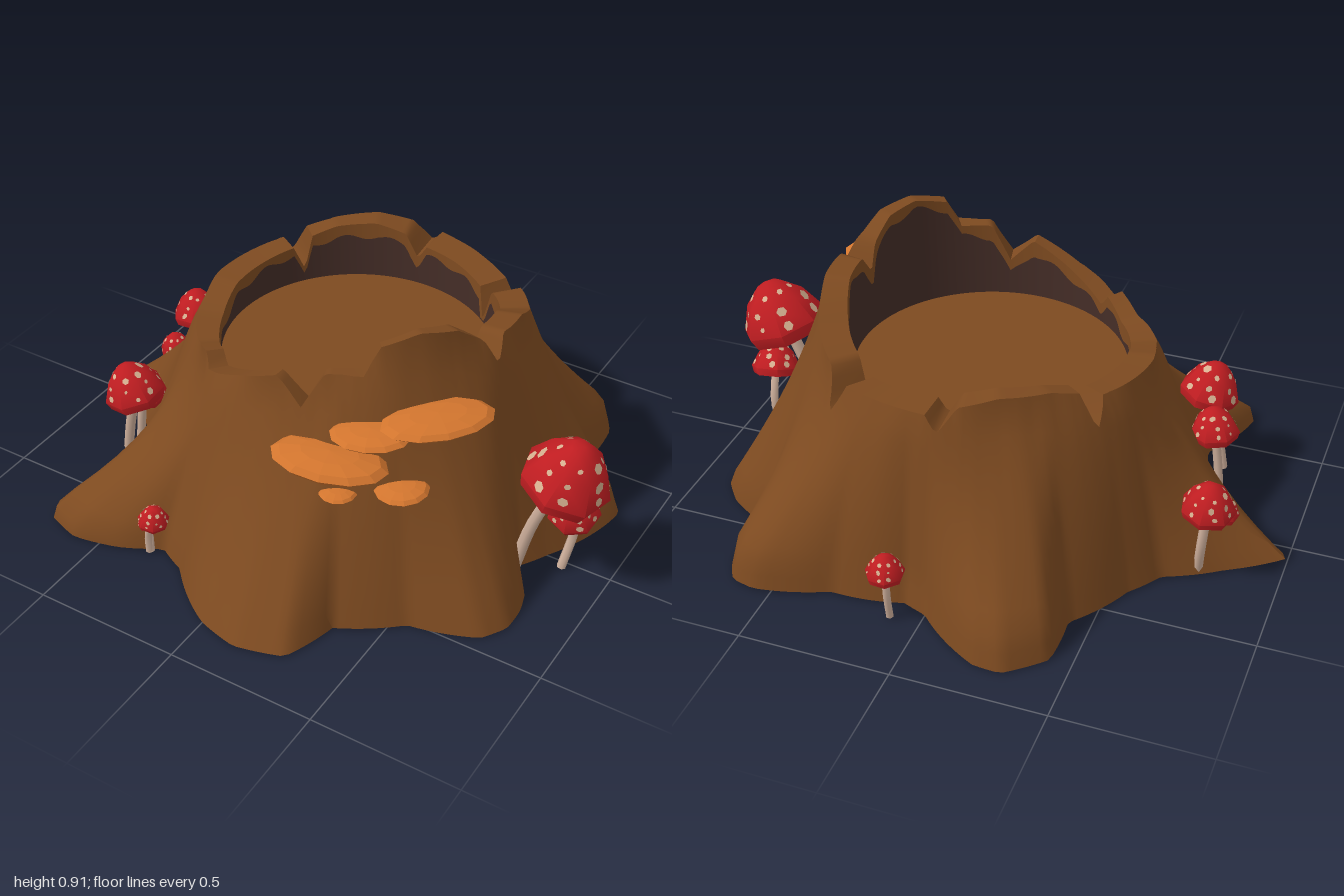
import * as THREE from 'three';
import { toCreasedNormals, mergeGeometries } from 'three/addons/utils/BufferGeometryUtils.js';

const CX = 0.03, CZ = -0.04, FLOOR = 0.52, SEG = 240;
const rad = Math.PI / 180;

// Ground outline of the spreading roots, as x, z pairs
const ROOTS = [
  [-1, -0.06], [-0.82, -0.19], [-0.64, -0.29], [-0.56, -0.4], [-0.43, -0.6], [-0.43, -0.78], [-0.31, -0.885],
  [-0.22, -0.88], [0, -0.72], [0.08, -0.69], [0.32, -0.72], [0.56, -0.79], [0.64, -0.77], [0.68, -0.7],
  [0.68, -0.48], [0.82, -0.4], [0.89, -0.31], [0.88, -0.24], [0.78, 0], [0.72, 0.1], [0.8, 0.21], [0.82, 0.28],
  [0.82, 0.37], [0.77, 0.45], [0.55, 0.52], [0.36, 0.65], [0.3, 0.83], [0.14, 0.875], [0, 0.84], [-0.2, 0.68],
  [-0.3, 0.63], [-0.43, 0.7], [-0.59, 0.735], [-0.72, 0.69], [-0.7, 0.6], [-0.61, 0.42], [-0.64, 0.2], [-0.78, 0.1],
].map(([x, z]) => [(Math.atan2(z - CZ, x - CX) / rad + 360) % 360, Math.hypot(x - CX, z - CZ)])
  .sort((a, b) => a[0] - b[0]);

// Jagged rim: angle, height
const RIM = [
  [4, 0.8], [10, 0.73], [14, 0.82], [24, 0.885], [37, 0.905], [51, 0.875], [57, 0.78], [70, 0.775], [78, 0.65],
  [88, 0.73], [106, 0.66], [125, 0.585], [129, 0.63], [142, 0.59], [160, 0.6], [176, 0.64], [194, 0.65],
  [210, 0.66], [215, 0.57], [219, 0.69], [230, 0.715], [247, 0.725], [260, 0.7], [266, 0.62], [270, 0.67],
  [285, 0.66], [303, 0.64], [308, 0.53], [314, 0.67], [332, 0.7], [350, 0.79],
];
// Outer radius at the rim: angle, radius
const WIDTH = [
  [0, 0.54], [40, 0.5], [90, 0.5], [140, 0.51], [180, 0.54], [205, 0.53], [228, 0.51], [250, 0.53], [270, 0.56],
  [290, 0.55], [318, 0.55],
];
// Height of the steep root ends: angle, height
const LIFT = [
  [0, 0.02], [40, 0.02], [75, 0], [110, 0.02], [135, 0.06], [160, 0.02], [180, 0], [210, 0.03], [240, 0.1],
  [320, 0.11], [345, 0.03],
];

// Linear look-up in a table that wraps at 360 degrees
function lookUp(table, angle) {
  const deg = (angle + 360) % 360, n = table.length;
  let i = table.findIndex((k) => k[0] > deg);
  if (i < 0) i = n;
  const a = table[(i + n - 1) % n], b = table[i % n];
  const span = (b[0] - a[0] + 360) % 360;
  return a[1] + (b[1] - a[1]) * (((deg - a[0] + 360) % 360) / span);
}

// Closed ring surface; at(deg, row) returns [radius, y]
function rings(rows, at) {
  const pos = [], index = [];
  for (let j = 0; j < rows; j++) {
    for (let i = 0; i < SEG; i++) {
      const deg = (i * 360) / SEG, [r, y] = at(deg, j);
      pos.push(CX + r * Math.cos(deg * rad), y, CZ + r * Math.sin(deg * rad));
      if (j === rows - 1) continue;
      const a = j * SEG + i, b = j * SEG + ((i + 1) % SEG), c = b + SEG, d = a + SEG;
      index.push(a, d, c, a, c, b);
    }
  }
  const g = new THREE.BufferGeometry();
  g.setAttribute('position', new THREE.Float32BufferAttribute(pos, 3));
  g.setIndex(index);
  return toCreasedNormals(g, 0.8);
}

// Rim height with the notches evened out
function evenHeight(deg) {
  let sum = 0;
  for (let d = -20; d <= 20; d += 5) sum += lookUp(RIM, deg + d) / 9;
  return sum;
}

// Flared trunk radius at a given height: roots sweep out, the hollows between them stay full
function trunkRadius(deg, y) {
  const top = lookUp(WIDTH, deg), root = lookUp(ROOTS, deg), lift = lookUp(LIFT, deg);
  const power = THREE.MathUtils.clamp(0.7 + (root - 0.7) * 3, 0.65, 1.7);
  const t = THREE.MathUtils.clamp((y - lift) / (evenHeight(deg) - lift), 0, 1);
  const foot = root * (1 - 0.3 * Math.min(y, lift));
  return top + (foot - top) * (1 - t) ** power;
}
const innerRadius = (y) => 0.445 + 0.06 * (y - FLOOR);
const bandBottom = (deg) => {
  const h = lookUp(RIM, deg);
  return Math.max(FLOOR + 0.005, h - 0.045 - 0.02 * Math.sin(deg * 0.2) * Math.sin(deg * 7 * rad));
};

// Cap profile, for a radius of 1
const CAP = [[0, -0.05], [0.9, -0.15], [1, 0.15], [0.7, 0.75], [0.28, 1.13], [0, 1.2]];
const SIDES = 7;

// Thin irregular patches lying flat on the facets of a cap
function spotGeometry(r, seed) {
  let s = seed * 7919 + 13;
  const rnd = () => (s = (s * 16807) % 2147483647) / 2147483647;
  for (let i = 0; i < 5; i++) rnd();
  const spots = [];
  for (let k = 0; k < SIDES; k++) {
    for (const [band, count] of [[2, 2], [3, 1]]) {
      for (let q = 0; q < count; q++) {
        const [r0, y0] = CAP[band], [r1, y1] = CAP[band + 1];
        const f = band === 2 ? 0.22 + 0.5 * q + 0.12 * rnd() : 0.3 + 0.3 * rnd();
        const inr = Math.cos(Math.PI / SIDES);
        const rr = (r0 + (r1 - r0) * f) * inr, y = y0 + (y1 - y0) * f;
        const side = (rnd() - 0.5) * 0.45 * rr, size = 0.06 + 0.085 * rnd();
        const g = new THREE.CircleGeometry(size * r, 6);
        g.scale(1, 0.7 + 0.5 * rnd(), 1);
        g.rotateZ(rnd() * 3);
        g.rotateX(-Math.atan2((r0 - r1) * inr, y1 - y0));
        g.translate(side * r, y * r, rr * r);
        const n = new THREE.Vector3(0, (r0 - r1) * inr, y1 - y0).normalize().multiplyScalar(0.003);
        g.translate(n.x, n.y, n.z);
        g.rotateY(((k + 0.5) * 2 * Math.PI) / SIDES);
        spots.push(g);
      }
    }
  }
  return mergeGeometries(spots);
}

export function createModel() {
  const mat = (name, color, opts = {}) => {
    const m = new THREE.MeshStandardMaterial({ color, ...opts });
    m.name = name;
    return m;
  };
  const two = { side: THREE.DoubleSide };
  const bark = mat('bark brown', 0x7d4a20, two);
  const hollow = mat('hollow dark brown', 0x432c26, two);
  const red = mat('cap red', 0xc01d21);
  const cream = mat('spot beige', 0xd6b090, two);
  const stemMat = mat('stem pale', 0xceaf9b);
  const orange = mat('bracket orange', 0xd2752e, { flatShading: true });

  const model = new THREE.Group();
  model.name = 'treeStump';
  const add = (parent, name, geo, material) => {
    const m = new THREE.Mesh(geo, material);
    m.name = name;
    parent.add(m);
    return m;
  };

  // Trunk with roots, rim and the upper band inside the rim
  const ROWS = 14;
  add(model, 'trunk', rings(ROWS + 2, (deg, j) => {
    const h = lookUp(RIM, deg);
    if (j < ROWS) {
      const y = (h * j) / (ROWS - 1);
      return [trunkRadius(deg, y), y];
    }
    const y = j === ROWS ? h - 0.005 : bandBottom(deg);
    return [innerRadius(y), y];
  }), bark);

  // Dark wall of the hollow, and its floor
  add(model, 'hollowWall', rings(2, (deg, j) => {
    const y = j ? FLOOR : bandBottom(deg);
    return [innerRadius(y), y];
  }), hollow);
  const floor = add(model, 'hollowFloor', new THREE.CircleGeometry(0.447, 40), bark);
  floor.rotation.x = -Math.PI / 2;
  floor.position.set(CX, FLOOR, CZ);

  // Shelf fungi: centre, half length, half thickness, half depth, turn, tilt
  [
    [0.27, 0.54, 0.52, 0.185, 0.036, 0.11, 0.25, -0.05],
    [0.37, 0.63, 0.45, 0.125, 0.024, 0.09, 0.35, 0.04],
    [0.53, 0.67, 0.33, 0.18, 0.028, 0.1, 0.85, 0],
    [0.47, 0.45, 0.43, 0.085, 0.022, 0.08, 0.6, 0.04],
    [0.3, 0.43, 0.52, 0.06, 0.016, 0.06, 0.3, 0],
  ].forEach(([x, y, z, a, b, c, turn, tilt]) => {
    const shelf = add(model, 'shelfFungus', new THREE.SphereGeometry(1, 12, 6), orange);
    shelf.scale.set(a, b, c);
    shelf.position.set(x, y, z);
    shelf.rotation.set(0, turn, tilt, 'YXZ');
  });

  // Mushrooms: cap position, cap radius, tilt about x and z, stem points
  [
    [[0.85, 0.4, 0.1], 0.148, 0, -0.33, [[0.71, 0, 0.105], [0.76, 0.2, 0.105]]],
    [[0.87, 0.25, 0.04], 0.086, 0.4, -0.1, [[0.84, 0, 0.03], [0.86, 0.14, -0.005]]],
    [[-0.615, 0.31, 0.325], 0.105, 0.1, 0.25, [[-0.69, 0.04, 0.3], [-0.66, 0.18, 0.31]]],
    [[-0.67, 0.23, 0.22], 0.085, 0, -0.1, [[-0.7, 0, 0.22], [-0.69, 0.1, 0.22]]],
    [[-0.76, 0.255, -0.23], 0.09, -0.1, 0.1, [[-0.74, 0, -0.22], [-0.75, 0.12, -0.24]]],
    [[-0.78, 0.165, -0.12], 0.06, 0.1, 0.1, [[-0.76, 0.02, -0.14], [-0.78, 0.09, -0.14]]],
    [[-0.3, 0.15, 0.67], 0.052, 0.15, -0.15, [[-0.335, 0, 0.66], [-0.33, 0.08, 0.665]]],
    [[-0.345, 0.095, 0.64], 0.037, 0, 0.3, [[-0.33, 0, 0.655], [-0.335, 0.05, 0.65]]],
    [[0.1, 0.18, -0.78], 0.063, 0, 0, [[0.1, 0, -0.76], [0.1, 0.09, -0.775]]],
  ].forEach(([p, r, tx, tz, path], i) => {
    const mushroom = new THREE.Group();
    mushroom.name = 'mushroom';
    model.add(mushroom);
    const curve = new THREE.CatmullRomCurve3([...path, [p[0], p[1] + r * 0.15, p[2]]].map((q) => new THREE.Vector3(...q)));
    add(mushroom, 'stem', new THREE.TubeGeometry(curve, 8, 0.008 + r * 0.085, 6), stemMat);
    const head = new THREE.Group();
    head.name = 'cap';
    head.position.set(...p);
    head.rotation.set(tx, i, tz, 'ZXY');
    mushroom.add(head);
    const profile = CAP.map(([a, b]) => new THREE.Vector2(a * r, b * r));
    add(head, 'capDome', toCreasedNormals(new THREE.LatheGeometry(profile, SIDES), 0.95), red);
    add(head, 'capSpots', spotGeometry(r, i + 1), cream);
  });

  return model;
}
